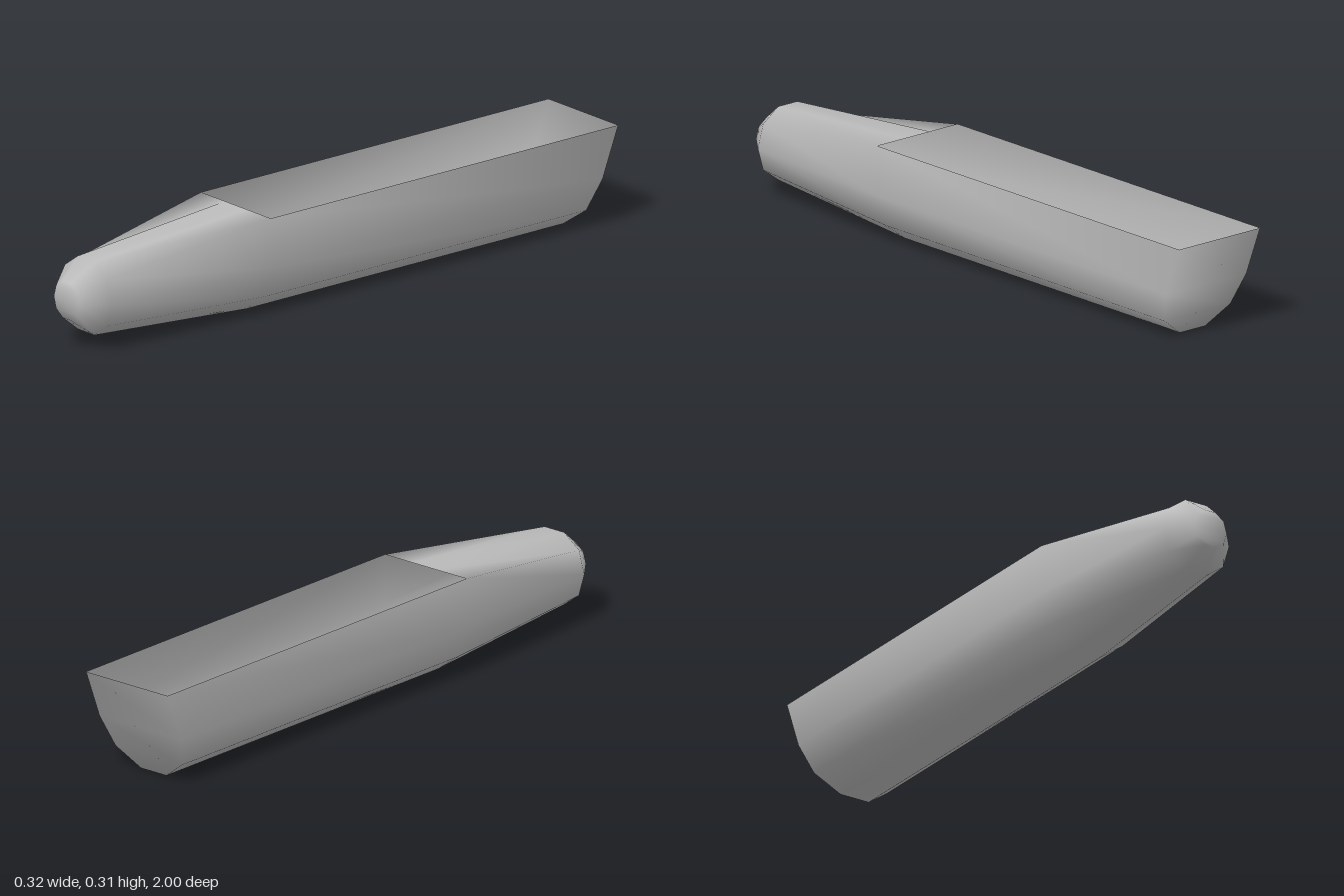
import * as THREE from 'three';

// Half cross-section, from keel up to the middle of the top
const hullHalf = [[0.05, 0], [0.13, 0.058], [0.16, 0.155], [0.16, 0.31], [0.05, 0.31]];
const noseHalf = [[0.038, 0.04], [0.097, 0.083], [0.118, 0.154], [0.097, 0.226], [0.038, 0.268]];
const tipHalf = noseHalf.map(([x, y]) => [x * 0.5, 0.154 + (y - 0.154) * 0.5]);

// Mirrors a half section into a full ring of ten points; z is a function of height
function ring(half, zAt) {
  const mirrored = half.map(([x, y]) => [-x, y]).reverse();
  return [...half, ...mirrored].map(([x, y]) => [x, y, zAt(y)]);
}

export function createModel() {
  const group = new THREE.Group();
  const grey = new THREE.MeshStandardMaterial({ color: 0xbcbcbc, side: THREE.DoubleSide });
  grey.name = 'grey';

  const rings = [
    ring(hullHalf, (y) => -1 + (0.31 - y) * 0.39), // raked stern
    ring(hullHalf, () => 0.345),                   // front of the opening
    ring(noseHalf, () => 0.925),
    ring(tipHalf, () => 1),
  ];
  const n = 10;
  const index = [];
  const quad = (a, b, c, d) => index.push(a, b, c, a, c, d);

  // Sides; the hull section is left open on top, the nose is decked over
  for (let k = 0; k < rings.length - 1; k++) {
    for (let i = 0; i < n; i++) {
      if (k === 0 && i >= 3 && i <= 5) continue;
      const j = (i + 1) % n;
      quad(k * n + i, k * n + j, (k + 1) * n + j, (k + 1) * n + i);
    }
  }

  // Stern wall and flat nose tip
  const tip = (rings.length - 1) * n;
  for (let i = 0; i < 4; i++) {
    quad(9 - i, 8 - i, i + 1, i);
    quad(tip + i, tip + i + 1, tip + 8 - i, tip + 9 - i);
  }

  const geometry = new THREE.BufferGeometry();
  geometry.setAttribute('position', new THREE.Float32BufferAttribute(rings.flat(2), 3));
  geometry.setIndex(index);
  geometry.computeVertexNormals();

  const hull = new THREE.Mesh(geometry, grey);
  hull.name = 'hull';
  group.add(hull);
  return group;
}
